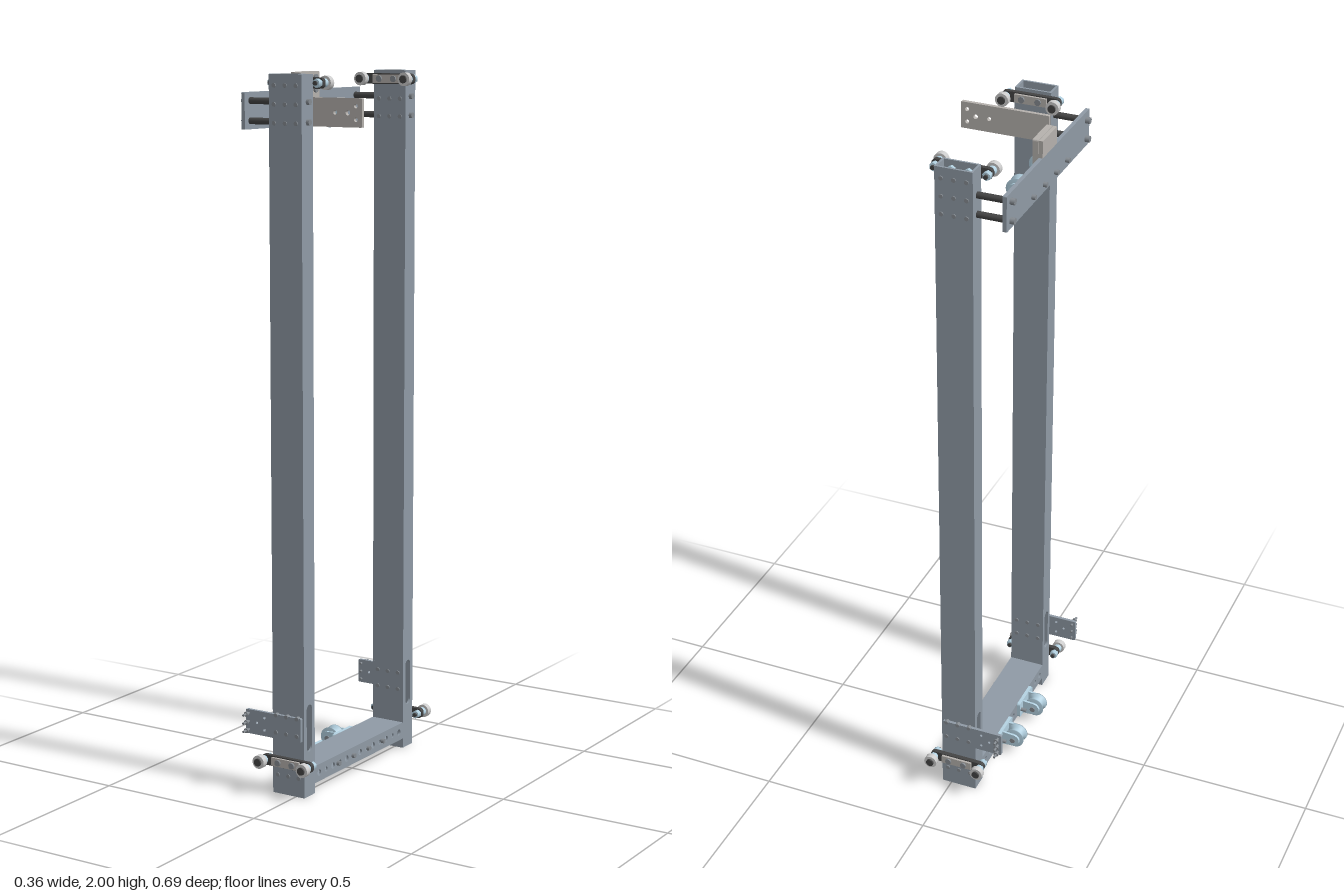
import * as THREE from 'three';

const mat = (color) => new THREE.MeshStandardMaterial({ color });
const ALU = mat(0x8f9aa5), GREY = mat(0xb5b1ad), DARK = mat(0x444444),
  BLUE = mat(0xb4d2e2), STEEL = mat(0x858b91), WHITE = mat(0xcccccc);
const X0 = -0.077, X1 = 0.028, XC = (X0 + X1) / 2, WALL = 0.006;

function add(parent, name, geo, material, x, y, z) {
  const m = new THREE.Mesh(geo, material);
  m.name = name;
  m.position.set(x, y, z);
  parent.add(m);
  return m;
}

// Box given by its limits on each axis
function box(parent, name, material, [xa, xb], [ya, yb], [za, zb]) {
  return add(parent, name, new THREE.BoxGeometry(xb - xa, yb - ya, Math.abs(zb - za)), material,
    (xa + xb) / 2, (ya + yb) / 2, (za + zb) / 2);
}

// Cylinder running along 'x' or 'z' from a to b
function rod(parent, name, material, axis, r, a, b, p, q, sides = 16) {
  const geo = new THREE.CylinderGeometry(r, r, Math.abs(b - a), sides);
  if (axis === 'x') geo.rotateZ(Math.PI / 2); else geo.rotateX(Math.PI / 2);
  const mid = (a + b) / 2;
  return axis === 'x' ? add(parent, name, geo, material, mid, p, q) : add(parent, name, geo, material, p, q, mid);
}

// Flat sheet with rounded corners and slots; holes are [u, v, radius, half length along v]
function sheet(w, h, t, holes = [], corner = 0.0005) {
  const a = w / 2, b = h / 2, c = corner, s = new THREE.Shape();
  s.moveTo(-a + c, -b);
  s.lineTo(a - c, -b); s.quadraticCurveTo(a, -b, a, -b + c);
  s.lineTo(a, b - c); s.quadraticCurveTo(a, b, a - c, b);
  s.lineTo(-a + c, b); s.quadraticCurveTo(-a, b, -a, b - c);
  s.lineTo(-a, -b + c); s.quadraticCurveTo(-a, -b, -a + c, -b);
  for (const [u, v, r, half = 0] of holes) {
    const p = new THREE.Path();
    p.absarc(u, v + half, r, 0, Math.PI, false);
    p.absarc(u, v - half, r, Math.PI, 2 * Math.PI, false);
    p.closePath();
    s.holes.push(p);
  }
  return new THREE.ExtrudeGeometry(s, { depth: t, bevelEnabled: false, curveSegments: 6 }).translate(0, 0, -t / 2);
}

// Hollow upright with a slot low down in its front and back walls
function upright(parent, s) {
  const g = new THREE.Group();
  g.name = 'upright';
  parent.add(g);
  const zi = 0.239, zo = 0.293, zc = s * (zi + zo) / 2;
  for (const x of [X0 + WALL / 2, X1 - WALL / 2]) {
    const geo = sheet(zo - zi, 2, WALL, [[0, -0.802, 0.0135, 0.054]]).rotateY(Math.PI / 2);
    add(g, 'slottedWall', geo, ALU, x, 1, zc);
  }
  for (const z of [zi, zo - WALL])
    box(g, 'sideWall', ALU, [X0 + WALL, X1 - WALL], [0, 2], [s * z, s * (z + WALL)]);
  // Fasteners on the outer and inner faces
  for (const x of [-0.06, -0.025, 0.01])
    for (const y of [0.055, 0.18, 0.23, 1.87, 1.92, 1.97]) {
      rod(g, 'rivet', STEEL, 'z', 0.006, s * zo, s * (zo + (y > 0.1 && y < 0.3 ? 0.012 : 0.003)), x, y, 12);
      if (y !== 0.055) rod(g, 'rivet', STEEL, 'z', 0.006, s * (zi - 0.003), s * zi, x, y, 12);
    }
}

// Carrier plate with two rollers; d is the direction the rollers face along z
function rollerCarrier(parent, y, zFace, d) {
  const g = new THREE.Group();
  g.name = 'rollerCarrier';
  g.position.set(0, y, zFace);
  parent.add(g);
  add(g, 'carrierPlate', sheet(0.168, 0.03, 0.013, [], 0.014), DARK, -0.0235, 0, d * 0.0065);
  box(g, 'backingStrip', GREY, [-0.07, 0.022], [-0.012, 0.012], [d * 0.013, d * 0.02]);
  for (const x of [-0.047, 0]) {
    rod(g, 'plateBolt', STEEL, 'z', 0.009, d * 0.02, d * 0.025, x, 0, 12);
    rod(g, 'plateNut', BLUE, 'z', 0.011, -d * 0.016, 0, x, 0, 6);
  }
  for (const x of [-0.097, 0.048]) {
    rod(g, 'axleNut', BLUE, 'z', 0.012, -d * 0.016, 0, x, 0, 6);
    rod(g, 'axleTip', DARK, 'z', 0.006, -d * 0.022, -d * 0.016, x, 0);
    rod(g, 'axleSpacer', BLUE, 'z', 0.012, d * 0.013, d * 0.028, x, 0);
    rod(g, 'roller', WHITE, 'z', 0.019, d * 0.028, d * 0.045, x, 0, 28);
    rod(g, 'axleHead', DARK, 'z', 0.011, d * 0.045, d * 0.05, x, 0);
  }
}

// Cable pulley in a forked bracket; d is the direction away from the mounting face
function pulley(parent, xFace, y, z, d) {
  const g = new THREE.Group();
  g.name = 'pulley';
  g.position.set(xFace, y, z);
  parent.add(g);
  const holes = [[-0.04, 0, 0.004], [0.04, 0, 0.004]];
  add(g, 'mountingFlange', sheet(0.1, 0.05, 0.01, holes, 0.008).rotateY(Math.PI / 2), BLUE, d * 0.005, 0, 0);
  // Fork ears, rounded at the axle end
  const ear = new THREE.Shape();
  ear.moveTo(0.008, -0.022);
  ear.lineTo(0.042, -0.02);
  ear.absarc(0.042, 0, 0.02, -Math.PI / 2, Math.PI / 2, false);
  ear.lineTo(0.008, 0.022);
  ear.closePath();
  for (const e of [-0.024, 0.024]) {
    const geo = new THREE.ExtrudeGeometry(ear, { depth: 0.007, bevelEnabled: false }).translate(0, 0, -0.0035);
    if (d < 0) geo.rotateY(Math.PI);
    add(g, 'forkEar', geo, BLUE, 0, 0, e);
  }
  // Grooved wheel
  const pts = [[0.006, -0.017], [0.03, -0.017], [0.03, -0.014], [0.023, -0.009], [0.019, 0],
    [0.023, 0.009], [0.03, 0.014], [0.03, 0.017], [0.006, 0.017]].map(([r, h]) => new THREE.Vector2(r, h));
  add(g, 'wheel', new THREE.LatheGeometry(pts, 32).rotateX(Math.PI / 2), BLUE, d * 0.042, 0, 0);
  rod(g, 'axle', STEEL, 'z', 0.008, -0.031, 0.031, d * 0.042, 0);
  for (const e of [-0.04, 0.04]) rod(g, 'flangeBolt', STEEL, 'x', 0.0055, d * 0.01, d * 0.026, 0, e, 12);
}

export function createModel() {
  const root = new THREE.Group();
  root.name = 'liftFrame';

  for (const s of [1, -1]) {
    upright(root, s);
    rollerCarrier(root, 1.976, s * 0.239, -s);
    rollerCarrier(root, 0.096, s * 0.293, s);

    // Standoffs and long bolts holding the back plate
    for (const y of [1.873, 1.927]) {
      rod(root, 'standoff', DARK, 'x', 0.009, -0.157, X0, y, s * 0.265, 12);
      rod(root, 'longBolt', STEEL, 'x', 0.005, -0.172, 0.034, y, s * 0.265, 12);
      rod(root, 'boltHead', STEEL, 'x', 0.009, -0.181, -0.168, y, s * 0.265, 12);
      rod(root, 'boltNut', STEEL, 'x', 0.009, X1, X1 + 0.009, y, s * 0.265, 6);
    }

    // Side bracket with three screws
    add(root, 'sideBracket', sheet(0.185, 0.07, 0.009, [[-0.055, 0, 0.004], [-0.03, 0.018, 0.004], [-0.03, -0.018, 0.004]], 0.004),
      ALU, -0.07, 0.197, s * 0.2975);
    for (const y of [0.173, 0.197, 0.221]) {
      rod(root, 'bracketScrew', STEEL, 'z', 0.0035, s * 0.285, s * 0.331, -0.152, y, 10);
      rod(root, 'screwCollar', STEEL, 'z', 0.007, s * 0.312, s * 0.318, -0.152, y, 10);
    }

    // Pulleys on the back plate and on the bottom rail
    pulley(root, -0.157, 1.873, s * 0.08, 1);
    pulley(root, X0, 0.055, s * 0.08, -1);
    for (const z of [0.04, 0.12]) {
      rod(root, 'pulleyBoltHead', STEEL, 'x', 0.007, -0.179, -0.168, 1.873, s * z, 12);
      rod(root, 'railBoltHead', STEEL, 'x', 0.007, X1, 0.037, 0.055, s * z, 12);
    }
  }

  // Hollow bottom rail, perforated front and back
  const holes = [];
  for (let i = -6; i <= 6; i++) holes.push([i * 0.036, 0, i % 2 ? 0.007 : 0.009]);
  for (const x of [X0 + WALL / 2, X1 - WALL / 2])
    add(root, 'railWall', sheet(0.478, 0.05, WALL, holes).rotateY(Math.PI / 2), ALU, x, 0.054, 0);
  for (const y of [0.029, 0.079 - WALL])
    box(root, 'railFace', ALU, [X0 + WALL, X1 - WALL], [y, y + WALL], [-0.239, 0.239]);

  // Back plate joining the uprights
  add(root, 'backPlate', sheet(0.582, 0.1, 0.011, [], 0.003).rotateY(Math.PI / 2), ALU, -0.1625, 1.9, 0);

  // Stop block hooked over the middle of the back plate
  const grid = [];
  for (const u of [-0.03, 0.03]) for (const v of [-0.033, 0, 0.033]) grid.push([u, v, 0.005]);
  add(root, 'stopPlate', sheet(0.102, 0.1, 0.017, grid, 0.006).rotateY(Math.PI / 2), GREY, -0.1485, 1.95, 0);
  box(root, 'stopLip', GREY, [-0.168, -0.157], [1.95, 1.998], [-0.05, 0.05]);
  for (const z of [-0.028, 0.026])
    for (const y of [1.917, 1.95, 1.983]) rod(root, 'stopBolt', STEEL, 'x', 0.009, -0.14, -0.134, y, z, 12);

  // Arm plate reaching forward from one upright
  const armHoles = [[0.085, 0, 0.007], [0.11, 0.018, 0.006], [0.11, -0.018, 0.006], [0.045, 0, 0.006]];
  add(root, 'armPlate', sheet(0.257, 0.077, 0.011, armHoles, 0.003), GREY, 0.0515, 1.9, 0.2305);
  return root;
}
